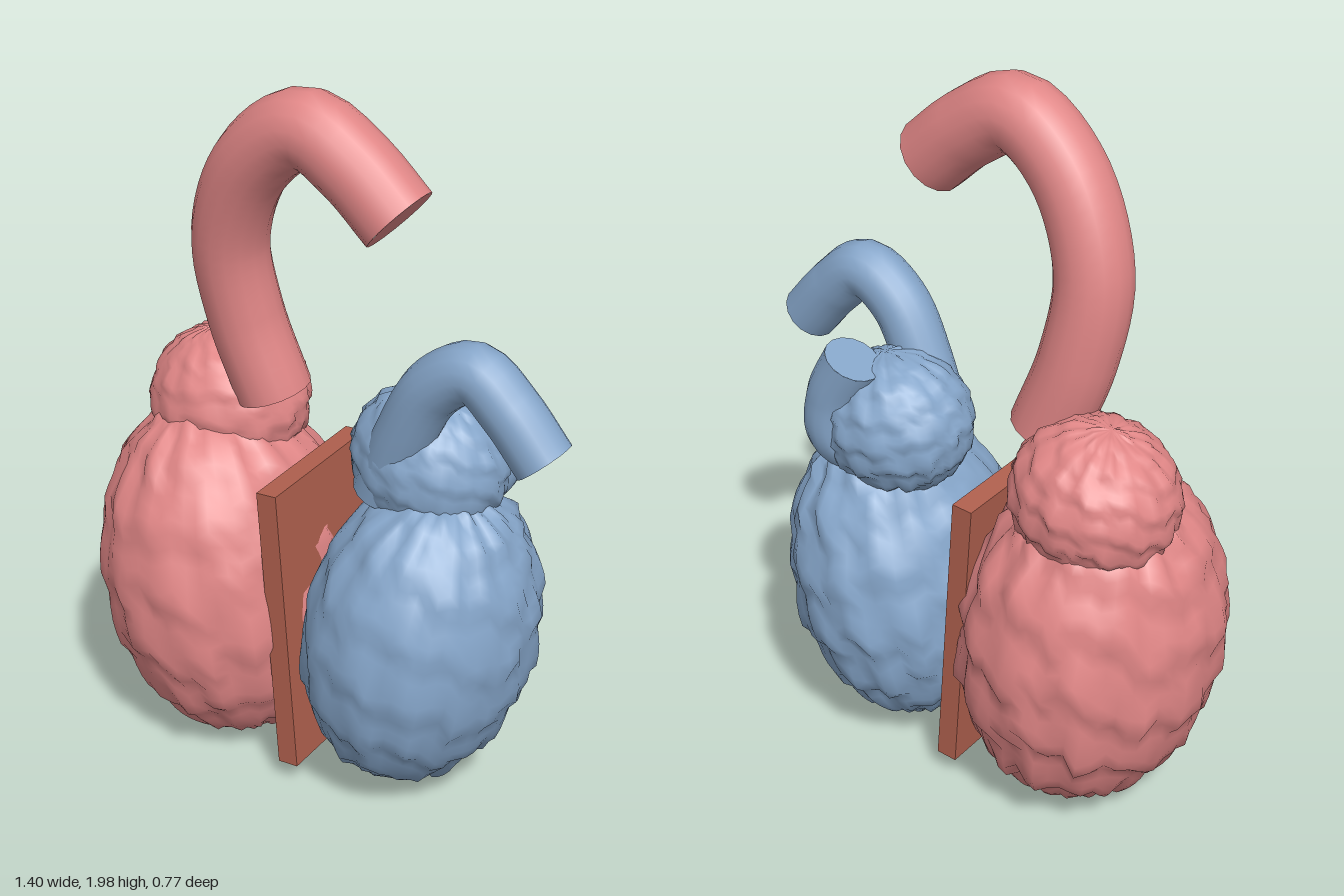
import * as THREE from 'three';
import { mergeVertices } from 'three/addons/utils/BufferGeometryUtils.js';

const RED = 0xe08686, BLUE = 0x86a6ca, BROWN = 0xb0604e;

function mesh(name, geometry, color, side = THREE.FrontSide) {
  const m = new THREE.Mesh(geometry, new THREE.MeshStandardMaterial({ color, side }));
  m.name = name;
  return m;
}

// Muscle lump: a sphere with slanted, overlapping folds pressed into it
function muscle(name, color, center, radii, tilt, rough, seed, swirl) {
  let g = new THREE.SphereGeometry(1, 56, 40);
  g.deleteAttribute('uv');
  g.deleteAttribute('normal');
  g = mergeVertices(g, 1e-4);
  const p = g.attributes.position, v = new THREE.Vector3();
  for (let i = 0; i < p.count; i++) {
    v.fromBufferAttribute(p, i);
    const a = Math.atan2(v.z, v.x), h = Math.acos(THREE.MathUtils.clamp(v.y, -1, 1));
    const ring = Math.sin(h);
    const wave = Math.sin(3 * a + seed) + 0.6 * Math.sin(7 * a - 4 * h + seed * 2);
    // Sawtooth steps read as torn fibre edges; sharper toward the back
    const t = h * 2.6 + swirl * Math.sin(a + seed) + 0.22 * wave;
    const step = t - Math.floor(t) - 0.5;
    const pleat = Math.sin(13 * a + 5 * h + seed) * 0.5 + Math.sin(21 * a - 9 * h + seed) * 0.35;
    const amount = rough * (v.z > 0.3 ? 0.7 : 1);
    const r = 1 + amount * (0.9 * step * (0.4 + 0.6 * ring) + 0.55 * pleat * ring);
    v.multiplyScalar(r);
    v.y += amount * 0.5 * ring * Math.sin(17 * a + seed * 3);
    p.setXYZ(i, v.x * radii[0], v.y * radii[1], v.z * radii[2]);
  }
  g.computeVertexNormals();
  const m = mesh(name, g, color, THREE.DoubleSide);
  m.position.set(...center);
  m.rotation.z = tilt;
  return m;
}

// Vessel: a bent tube closed with a flat disc at each end
function vessel(name, color, points, radius) {
  const group = new THREE.Group();
  group.name = name;
  const curve = new THREE.CatmullRomCurve3(points.map(q => new THREE.Vector3(...q)));
  group.add(mesh(name + 'Wall', new THREE.TubeGeometry(curve, 32, radius, 16), color));
  for (const end of [0, 1]) {
    const cap = mesh(name + 'Cap', new THREE.CircleGeometry(radius, 16), color);
    const dir = curve.getTangentAt(end).multiplyScalar(end ? 1 : -1);
    cap.position.copy(curve.getPointAt(end));
    cap.quaternion.setFromUnitVectors(new THREE.Vector3(0, 0, 1), dir);
    group.add(cap);
  }
  return group;
}

export function createModel() {
  const heart = new THREE.Group();
  heart.name = 'heart';

  // Chambers
  heart.add(
    muscle('redVentricle', RED, [-0.34, 0.53, 0], [0.345, 0.515, 0.375], 0.13, 0.065, 1.3, 0.35),
    muscle('blueVentricle', BLUE, [0.28, 0.51, 0], [0.305, 0.46, 0.345], -0.18, 0.06, 4.1, 0.6),
    muscle('redAtrium', RED, [-0.38, 1.0, -0.07], [0.225, 0.21, 0.21], 0.2, 0.06, 2.2, 0.4),
    muscle('blueAtrium', BLUE, [0.26, 1.0, -0.06], [0.215, 0.2, 0.19], -0.2, 0.06, 5.6, 0.5)
  );

  // Wall between the two halves
  const septum = mesh('septum', new THREE.BoxGeometry(0.06, 0.84, 0.44), BROWN);
  septum.position.set(-0.04, 0.5, 0);
  septum.rotation.z = 0.07;
  heart.add(septum);

  // Great vessels
  heart.add(
    vessel('aorta', RED, [[-0.185, 1.1, 0], [-0.26, 1.32, 0.02], [-0.28, 1.55, 0.05],
      [-0.18, 1.78, 0.08], [-0.02, 1.895, 0.09], [0.12, 1.825, 0.09], [0.245, 1.715, 0.09]], 0.103),
    vessel('pulmonaryArtery', BLUE, [[0.17, 0.92, 0.03], [0.25, 1.12, 0.05], [0.34, 1.28, 0.06],
      [0.45, 1.345, 0.06], [0.55, 1.27, 0.06], [0.65, 1.155, 0.06]], 0.08),
    vessel('venaCava', BLUE, [[0.325, 1.205, -0.16], [0.385, 1.08, -0.165],
      [0.39, 0.97, -0.16], [0.31, 0.89, -0.1]], 0.079)
  );
  return heart;
}
